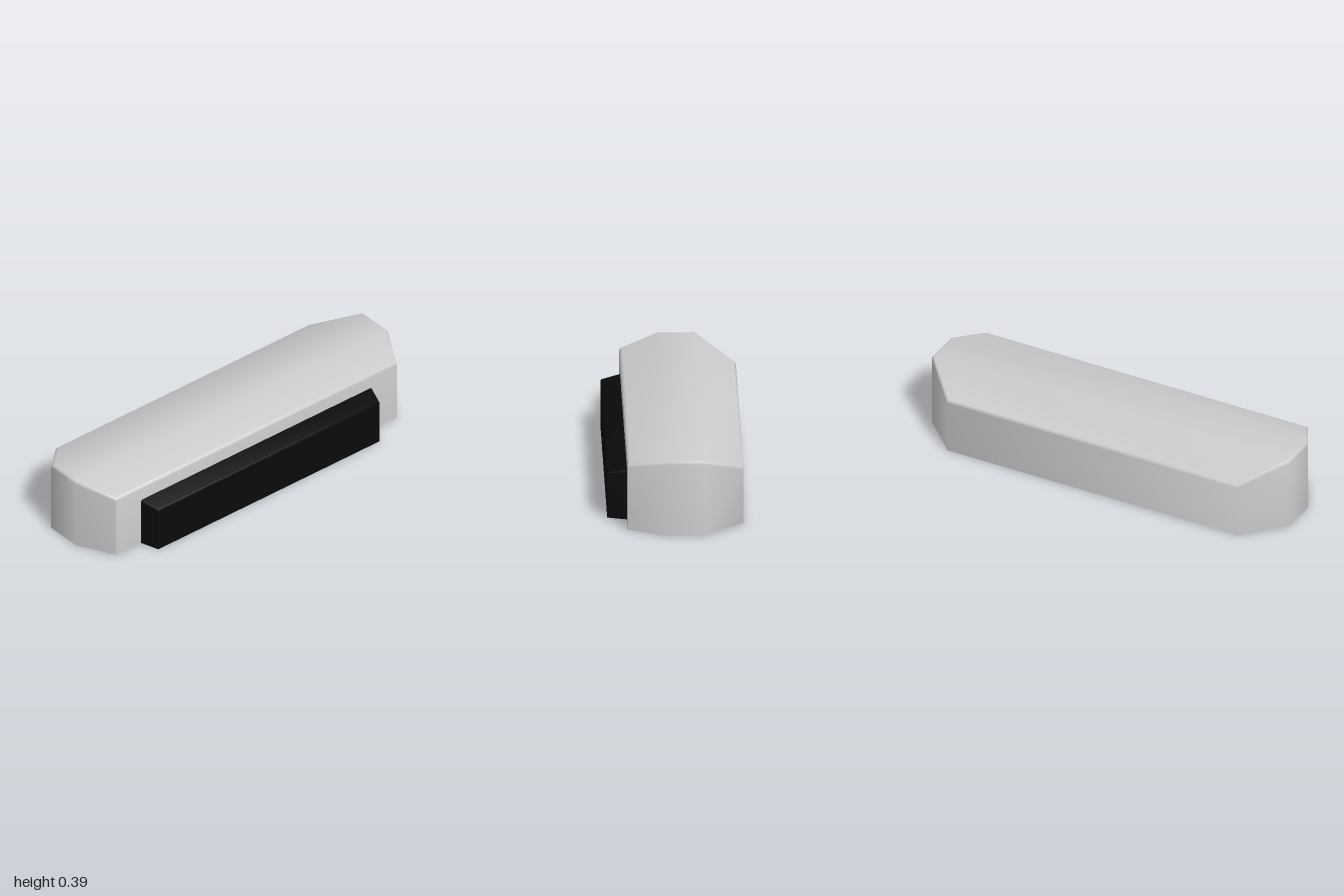
import * as THREE from 'three';
import { toCreasedNormals } from 'three/addons/utils/BufferGeometryUtils.js';

// Inset a counter-clockwise outline of [x, z] points by d, with mitred corners
function inset(ring, d) {
  const n = ring.length;
  const normal = (a, b) => {
    const dx = b[0] - a[0], dz = b[1] - a[1], l = Math.hypot(dx, dz);
    return [dz / l, -dx / l]; // points inwards
  };
  return ring.map((p, i) => {
    const a = normal(ring[(i + n - 1) % n], p);
    const b = normal(p, ring[(i + 1) % n]);
    const k = d / (1 + a[0] * b[0] + a[1] * b[1]);
    return [p[0] + (a[0] + b[0]) * k, p[1] + (a[1] + b[1]) * k];
  });
}

// Upright prism with a softened rim. half: [x, z, topHeight] corners of the +x side, front to back
function slopedPrism(half, base, bevel, crease) {
  const outline = [...half, ...half.map(([x, z, h]) => [-x, z, h]).reverse()];
  const n = outline.length;
  const rings = [outline.map(([x, z]) => [x, base, z])];
  const steps = 3;
  for (let s = 0; s <= steps; s++) {
    const t = (s / steps) * Math.PI / 2;
    const drop = bevel * 1.2 * (1 - Math.sin(t));
    rings.push(inset(outline, bevel * (1 - Math.cos(t)))
      .map(([x, z], i) => [x, outline[i][2] - drop, z]));
  }
  const pos = [];
  const quad = (a, b, c, d) => pos.push(...a, ...b, ...c, ...a, ...c, ...d);
  // walls and rim
  for (let r = 0; r + 1 < rings.length; r++) {
    for (let i = 0; i < n; i++) {
      const j = (i + 1) % n;
      quad(rings[r][i], rings[r][j], rings[r + 1][j], rings[r + 1][i]);
    }
  }
  // top and bottom, in strips across x
  const top = rings[rings.length - 1], low = rings[0];
  for (let i = 0; i + 1 < half.length; i++) {
    const k = n - 1 - i;
    quad(top[i], top[i + 1], top[k - 1], top[k]);
    quad(low[k], low[k - 1], low[i + 1], low[i]);
  }
  const geo = new THREE.BufferGeometry();
  geo.setAttribute('position', new THREE.Float32BufferAttribute(pos, 3));
  return toCreasedNormals(geo, crease);
}

export function createModel() {
  const group = new THREE.Group();
  const add = (name, geo, color) => {
    const mesh = new THREE.Mesh(geo, new THREE.MeshStandardMaterial({ color }));
    mesh.name = name;
    group.add(mesh);
  };

  // Eight-sided housing with a sloping top
  add('housing', slopedPrism([
    [0.9, 0.238, 0.342],
    [1, 0.05, 0.387],
    [1, -0.14, 0.387],
    [0.81, -0.335, 0.295],
  ], 0.001, 0.015, 0.87), 0xcccccc);

  // Dark insert that runs through the housing and stands out at the front
  add('darkInsert', slopedPrism([
    [0.71, 0.335, 0.243],
    [0.8, 0.05, 0.294],
    [0.8, -0.14, 0.28],
    [0.68, -0.25, 0.22],
  ], 0, 0.012, 0.87), 0x0a0a0a);

  return group;
}
